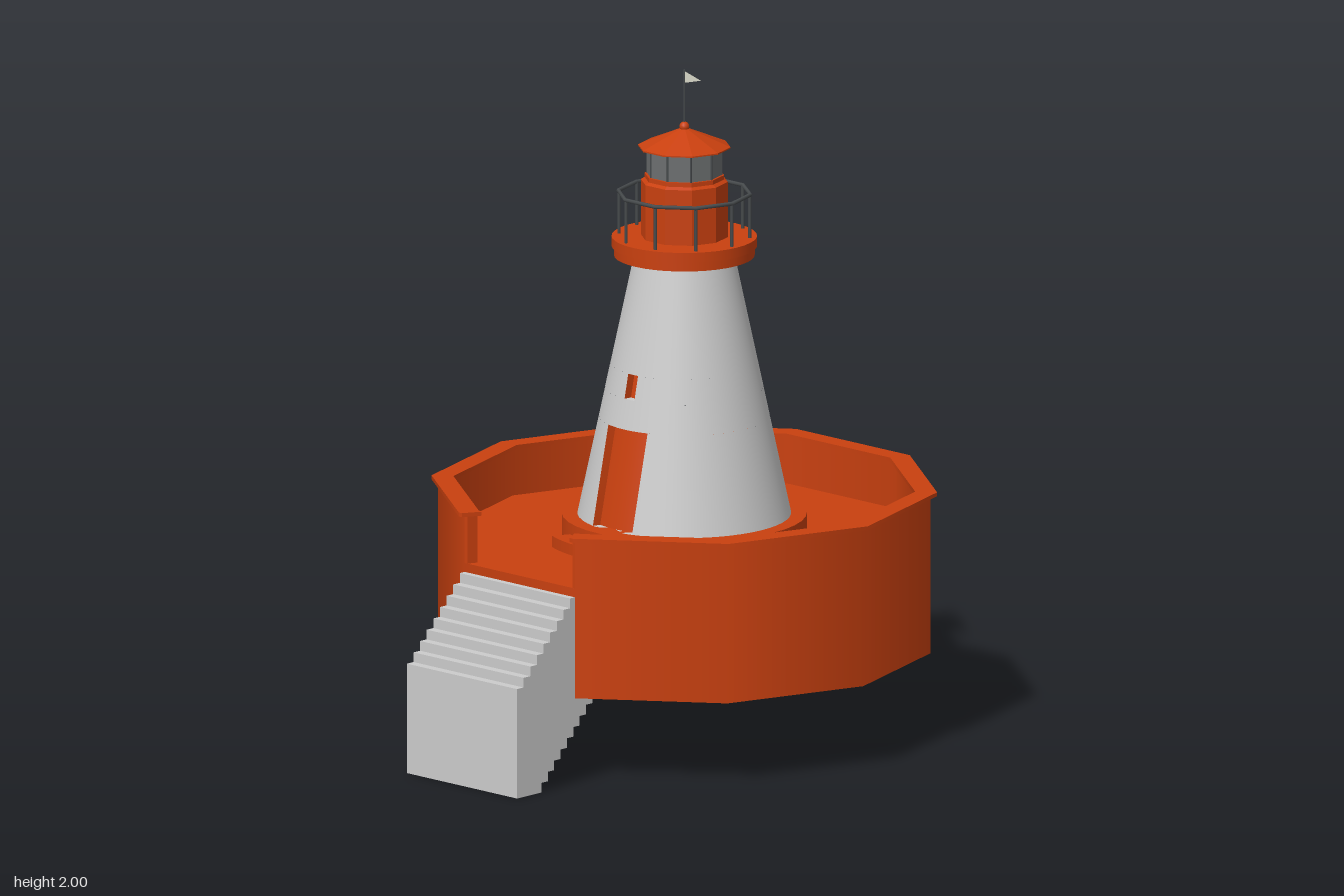
import * as THREE from 'three';
import { mergeGeometries } from 'three/addons/utils/BufferGeometryUtils.js';
import { ParametricGeometry } from 'three/addons/geometries/ParametricGeometry.js';

const mat = (color, extra = {}) => new THREE.MeshStandardMaterial({ color, ...extra });
const RED = mat(0xc9400f);
const RED_FLAT = mat(0xc9400f, { flatShading: true });
const RED_THIN = mat(0xc9400f, { side: THREE.DoubleSide });
const GREY = mat(0xcccccc);
const GREY_THIN = mat(0xcccccc, { side: THREE.DoubleSide });
const DARK = mat(0x484c4e);
const GLASS = mat(0x6c6f70, { flatShading: true });

const STEP = Math.PI / 5;        // one side of the ten-sided plan
const START = Math.PI / 10;      // flat side towards the front

// Turned part with crisp profile edges; profile runs bottom-outside to top-inside
function turned(profile, sides, start = START, length = Math.PI * 2) {
  const parts = [];
  for (let i = 0; i < profile.length - 1; i++) {
    const pair = [profile[i], profile[i + 1]].map(([r, y]) => new THREE.Vector2(r, y));
    parts.push(new THREE.LatheGeometry(pair, sides, start, length));
  }
  return mergeGeometries(parts);
}

// Plan outline (x, z) raised from y0 to y1
function raised(shape, y0, y1) {
  const g = new THREE.ExtrudeGeometry(shape, { depth: y1 - y0, bevelEnabled: false, curveSegments: 12 });
  return g.rotateX(Math.PI / 2).translate(0, y1, 0);
}

// Tapered tower surface
const radiusAt = (y) => 0.314 - (y - 0.66) * 0.2128;
const sideAngle = (y, halfWidth) => (halfWidth ? Math.asin(halfWidth / radiusAt(y)) : 0);
const INSET = 0.025;
const { lerp } = THREE.MathUtils;

function onTower(target, angle, y, inset = 0) {
  const r = radiusAt(y) - inset;
  target.set(r * Math.sin(angle), y, r * Math.cos(angle));
}

export function createModel() {
  const model = new THREE.Group();
  model.name = 'lighthouse';
  const body = new THREE.Group();
  body.name = 'lighthouseBody';
  body.position.z = -0.11;
  model.add(body);

  const add = (name, geometry, material, parent = body) => {
    const mesh = new THREE.Mesh(geometry, material);
    mesh.name = name;
    parent.add(mesh);
    return mesh;
  };

  // Ten-sided platform with a parapet open at the front
  add('platform', turned([[0, 0.26], [0.731, 0.26], [0.731, 0.592], [0, 0.592]], 10), RED);
  add('parapetWall', turned([[0.731, 0.592], [0.731, 0.735], [0.7, 0.735], [0.7, 0.592]], 9, START, 9 * STEP), RED);
  add('parapetRim', turned(
    [[0.685, 0.735], [0.75, 0.735], [0.75, 0.747], [0.685, 0.747], [0.685, 0.735]], 9, START, 9 * STEP), RED);
  for (const s of [-1, 1]) {
    const outline = (pts) => new THREE.Shape(pts.map(([x, z]) => new THREE.Vector2(s * x, z)));
    add('parapetEnd', raised(outline([[0.226, 0.695], [0.214, 0.695], [0.203, 0.665], [0.216, 0.665]]), 0.592, 0.735), RED);
    add('rimEnd', raised(outline([[0.232, 0.713], [0.219, 0.713], [0.19, 0.66], [0.212, 0.652]]), 0.735, 0.747), RED);
  }

  // Tower plinth and curved doorstep
  add('plinth', turned([[0.36, 0.592], [0.36, 0.66], [0, 0.66]], 40), RED);
  const stepShape = new THREE.Shape();
  stepShape.absarc(0, 0, 0.415, Math.PI / 2 - 0.44, Math.PI / 2 + 0.44, false);
  stepShape.absarc(0, 0, 0.35, Math.PI / 2 + 0.44, Math.PI / 2 - 0.44, true);
  add('doorstep', raised(stepShape, 0.592, 0.626), RED);

  // Tower in bands; door and window bands leave a gap at the front
  const bands = [
    { y0: 0.66, y1: 0.955, half: 0.08, name: 'door' },
    { y0: 0.955, y1: 1.042, half: 0 },
    { y0: 1.042, y1: 1.115, half: 0.02, name: 'window' },
    { y0: 1.115, y1: 1.44, half: 0 },
  ];
  for (const { y0, y1, half, name } of bands) {
    add('tower', new ParametricGeometry((u, v, t) => {
      const y = lerp(y0, y1, v), a = sideAngle(y, half);
      onTower(t, lerp(a, Math.PI * 2 - a, u), y);
    }, 48, 4), GREY);
    if (!half) continue;
    // Recessed panel
    add(name, new ParametricGeometry((u, v, t) => {
      const y = lerp(y0, y1, v), a = sideAngle(y, half);
      onTower(t, lerp(-a, a, u), y, INSET);
    }, 8, 4), RED_THIN);
    // Reveals around the opening
    for (const s of [-1, 1]) {
      add(name + 'Jamb', new ParametricGeometry((u, v, t) => {
        const y = lerp(y0, y1, v);
        onTower(t, s * sideAngle(y, half), y, u * INSET);
      }, 1, 4), RED_THIN);
    }
    for (const y of [y0, y1]) {
      add(name + 'Reveal', new ParametricGeometry((u, v, t) => {
        const a = sideAngle(y, half);
        onTower(t, lerp(-a, a, u), y, v * INSET);
      }, 8, 1), y === y0 ? GREY_THIN : RED_THIN);
    }
  }

  // Gallery deck
  add('galleryDeck', turned(
    [[0, 1.44], [0.207, 1.44], [0.207, 1.468], [0.214, 1.468], [0.214, 1.498], [0, 1.498]], 40), RED);

  // Gallery railing
  const rail = new THREE.TorusGeometry(0.196, 0.006, 6, 10).rotateX(Math.PI / 2).rotateY(START * 2);
  add('handrail', rail, DARK).position.y = 1.628;
  for (let i = 0; i < 10; i++) {
    const a = START + i * STEP;
    add('railPost', new THREE.CylinderGeometry(0.005, 0.005, 0.13, 6), DARK)
      .position.set(0.194 * Math.sin(a), 1.563, 0.194 * Math.cos(a));
  }

  // Lantern room
  add('lanternBase', turned(
    [[0.129, 1.498], [0.129, 1.665], [0.118, 1.672], [0.118, 1.685], [0, 1.685]], 10), RED_FLAT);
  add('lanternGlass', turned([[0.111, 1.685], [0.111, 1.77]], 10), GLASS);
  for (let i = 0; i < 10; i++) {
    const a = START + i * STEP;
    add('glazingBar', new THREE.CylinderGeometry(0.003, 0.003, 0.085, 6), DARK)
      .position.set(0.111 * Math.sin(a), 1.7275, 0.111 * Math.cos(a));
  }

  // Roof, finial, flagpole and pennant
  add('roof', turned([[0, 1.766], [0.137, 1.766], [0.137, 1.77], [0, 1.828]], 10), RED_FLAT);
  add('finial', new THREE.SphereGeometry(0.015, 12, 8), RED).position.y = 1.828;
  add('flagpole', new THREE.CylinderGeometry(0.0025, 0.0025, 0.165, 6), DARK).position.y = 1.9175;
  const pennant = new THREE.Shape([[0, 1.996], [0, 1.96], [0.068, 1.978]].map(([x, y]) => new THREE.Vector2(x, y)));
  add('pennant', new THREE.ShapeGeometry(pennant), mat(0xd8d8c8, { side: THREE.DoubleSide }));

  // Staircase: stepped above and below, profile in (z, y)
  const pts = [[0.727, 0], [0.83, 0]];
  for (let i = 0; i < 9; i++) {
    const y = 0.331 + i * 0.0293;
    pts.push([0.83 - i * 0.028, y], [0.83 - (i + 1) * 0.028, y]);
  }
  pts.push([0.511, 0.565]);
  for (let i = 8; i >= 0; i--) {
    const y = (i + 1) * 0.029;
    pts.push([0.727 - (i + 1) * 0.027, y], [0.727 - i * 0.027, y]);
  }
  const profile = new THREE.Shape(pts.map(([z, y]) => new THREE.Vector2(z, y)));
  const stairs = new THREE.ExtrudeGeometry(profile, { depth: 0.45, bevelEnabled: false });
  stairs.rotateY(-Math.PI / 2).translate(0.225, 0, 0);
  add('staircase', stairs, GREY, model);

  return model;
}
